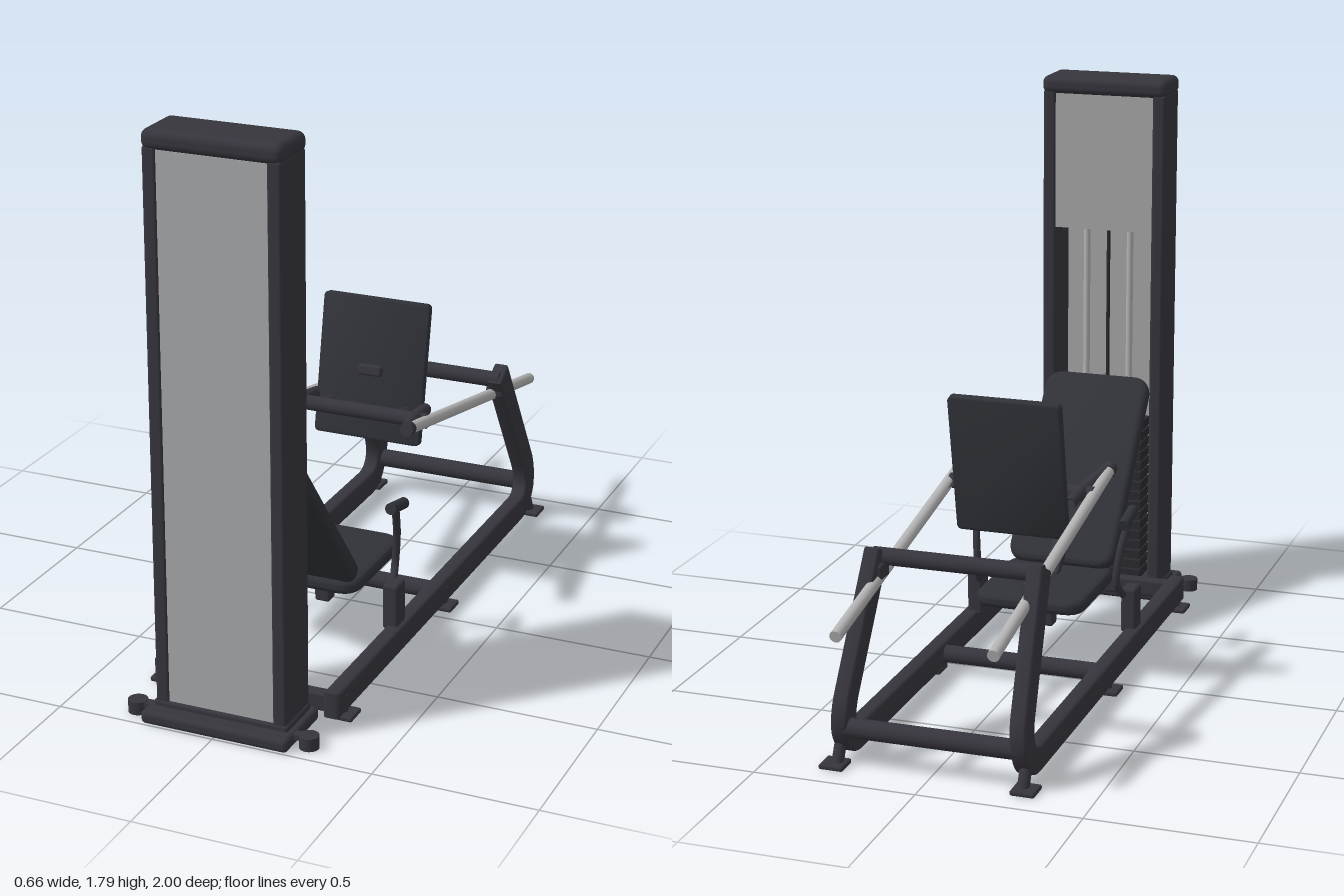
import * as THREE from 'three';
import { toCreasedNormals } from 'three/addons/utils/BufferGeometryUtils.js';
import { RoundedBoxGeometry } from 'three/addons/geometries/RoundedBoxGeometry.js';

const paint = (name, color) => {
  const m = new THREE.MeshStandardMaterial({ color });
  m.name = name;
  return m;
};
const V = (x, y, z) => new THREE.Vector3(x, y, z);

export function createModel() {
  const frame = paint('frame charcoal', 0x36353d);
  const pad = paint('upholstery black', 0x303238);
  const panel = paint('panel grey', 0xa6a7a8);
  const steel = paint('brushed steel', 0xb2b2b2);
  const stack = paint('weight black', 0x2a2a2f);

  const model = new THREE.Group();
  model.name = 'legPressMachine';

  const add = (name, geo, mat, x = 0, y = 0, z = 0) => {
    const mesh = new THREE.Mesh(geo, mat);
    mesh.name = name;
    mesh.position.set(x, y, z);
    model.add(mesh);
    return mesh;
  };
  const box = (name, mat, w, h, d, x, y, z, r = 0) =>
    add(name, r ? new RoundedBoxGeometry(w, h, d, 3, r) : new THREE.BoxGeometry(w, h, d), mat, x, y, z);
  const rod = (name, mat, a, b, r) => {
    const mesh = add(name, new THREE.CylinderGeometry(r, r, a.distanceTo(b), 20), mat);
    mesh.position.copy(a).lerp(b, 0.5);
    mesh.quaternion.setFromUnitVectors(V(0, 1, 0), b.clone().sub(a).normalize());
    return mesh;
  };
  const tube = (name, mat, pts, r) =>
    add(name, new THREE.TubeGeometry(new THREE.CatmullRomCurve3(pts), 24, r, 14), mat);

  // Flat cushion with rounded corners and soft edges, facing +z
  const cushion = (w, l, t, r, bevel) => {
    const x = w / 2 - bevel, y = l / 2 - bevel;
    const s = new THREE.Shape();
    s.moveTo(-x + r, -y);
    s.lineTo(x - r, -y).quadraticCurveTo(x, -y, x, -y + r);
    s.lineTo(x, y - r).quadraticCurveTo(x, y, x - r, y);
    s.lineTo(-x + r, y).quadraticCurveTo(-x, y, -x, y - r);
    s.lineTo(-x, -y + r).quadraticCurveTo(-x, -y, -x + r, -y);
    const g = new THREE.ExtrudeGeometry(s, {
      depth: t - 2 * bevel, bevelSize: bevel, bevelThickness: bevel, bevelSegments: 4, curveSegments: 8,
    });
    g.translate(0, 0, bevel - t / 2);
    return toCreasedNormals(g, 0.7);
  };

  // Weight tower
  box('towerBase', frame, 0.47, 0.042, 0.235, 0, 0.021, 0.882, 0.015);
  box('towerSill', frame, 0.43, 0.04, 0.17, 0, 0.04, 0.863, 0.01);
  for (const s of [-1, 1]) box('towerPost', frame, 0.043, 1.7, 0.165, s * 0.1875, 0.89, 0.8625, 0.01);
  box('towerCap', frame, 0.426, 0.06, 0.176, 0, 1.757, 0.862, 0.024);
  box('frontPanel', panel, 0.334, 1.68, 0.012, 0, 0.89, 0.934);
  box('rearPanel', panel, 0.334, 0.45, 0.012, 0, 1.505, 0.792);

  // Weight stack, guide rods and selector pin
  for (let i = 0; i < 16; i++)
    box('weightPlate', stack, 0.27, 0.029, 0.1, 0, 0.08 + i * 0.035, 0.85);
  for (const s of [-1, 1])
    rod('guideRod', steel, V(s * 0.075, 0.06, 0.85), V(s * 0.075, 1.73, 0.85), 0.011);
  rod('stackCable', stack, V(0, 0.6, 0.85), V(0, 1.73, 0.85), 0.006);
  rod('selectorPin', steel, V(0, 0.46, 0.81), V(0, 0.46, 0.76), 0.009);

  // Side rail outline, bent up at the rear; x of the shape runs toward the back
  const rail = new THREE.Shape();
  rail.moveTo(-0.77, 0.025);
  rail.lineTo(0.77, 0.025).bezierCurveTo(0.865, 0.025, 0.92, 0.12, 0.88, 0.215);
  rail.lineTo(0.675, 0.6).lineTo(0.612, 0.568);
  rail.lineTo(0.81, 0.2).bezierCurveTo(0.84, 0.14, 0.82, 0.09, 0.76, 0.09);
  rail.lineTo(-0.77, 0.09);
  const railShape = (side) => {
    const g = new THREE.ExtrudeGeometry(rail, {
      depth: 0.034, bevelSize: 0.008, bevelThickness: 0.008, bevelSegments: 3, curveSegments: 14,
    });
    g.translate(0, 0, -0.017);
    g.rotateY(Math.PI / 2);
    // Lean the upright inwards
    const p = g.attributes.position;
    for (let i = 0; i < p.count; i++)
      p.setX(i, p.getX(i) + side * (0.276 - Math.max(0, p.getY(i) - 0.1) * 0.05));
    return toCreasedNormals(g, 0.6);
  };

  for (const s of [-1, 1]) {
    add('sideRail', railShape(s), frame);

    // Feet
    for (const z of [0.715, -0.075, -0.885]) {
      box('footPlate', frame, 0.075, 0.016, 0.075, s * 0.293, 0.008, z, 0.006);
      rod('footStem', frame, V(s * 0.285, 0.01, z), V(s * 0.285, 0.07, z + (z < -0.5 ? 0.03 : 0)), 0.018);
    }
    add('levelingFoot', new THREE.CylinderGeometry(0.03, 0.03, 0.04, 20), frame, s * 0.276, 0.02, 0.93);
    box('footBracket', frame, 0.06, 0.015, 0.03, s * 0.235, 0.03, 0.93);

    // Hand grips
    box('gripPost', frame, 0.05, 0.15, 0.07, s * 0.262, 0.158, 0.268, 0.01);
    tube('gripStem', frame, [V(s * 0.245, 0.21, 0.235), V(s * 0.235, 0.26, 0.195), V(s * 0.242, 0.36, 0.2), V(s * 0.258, 0.465, 0.25)], 0.012);
    rod('handGrip', pad, V(s * 0.258, 0.482, 0.29), V(s * 0.258, 0.46, 0.185), 0.018);

    // Sliding carriage rods, end caps and arms
    rod('carriageRod', steel, V(s * 0.236, 0.668, 0.1), V(s * 0.236, 0.447, -0.997), 0.0185);
    rod('rodCap', frame, V(s * 0.236, 0.672, 0.115), V(s * 0.236, 0.666, 0.088), 0.022);
    tube('carriageArm', frame, [V(s * 0.187, 0.63, -0.16), V(s * 0.198, 0.645, -0.06), V(s * 0.212, 0.655, 0.02), V(s * 0.228, 0.668, 0.095)], 0.02);
    box('rodGuide', frame, 0.06, 0.05, 0.07, s * 0.247, 0.535, -0.655, 0.01);
  }

  // Cross members
  rod('rearCrossbar', frame, V(-0.265, 0.12, -0.868), V(0.265, 0.12, -0.868), 0.03);
  rod('upperCrossbar', frame, V(-0.262, 0.572, -0.635), V(0.262, 0.572, -0.635), 0.026);
  rod('middleCrossbar', frame, V(-0.27, 0.058, -0.065), V(0.27, 0.058, -0.065), 0.028);
  box('frontCrossbar', frame, 0.54, 0.06, 0.04, 0, 0.058, 0.75, 0.01);
  rod('carriageCrossbar', frame, V(-0.235, 0.635, -0.057), V(0.235, 0.635, -0.057), 0.024);

  // Foot platform with a small catch on its face
  add('footPlatform', cushion(0.36, 0.455, 0.03, 0.012, 0.005), pad, 0, 0.735, -0.178).rotation.x = -0.187;
  box('platformCatch', frame, 0.08, 0.035, 0.022, 0, 0.735, -0.157, 0.008).rotation.x = -0.187;
  for (const s of [-1, 1])
    rod('platformMount', frame, V(s * 0.13, 0.635, -0.06), V(s * 0.13, 0.615, -0.15), 0.018);

  // Backrest, seat and supports
  add('backrest', cushion(0.36, 0.685, 0.055, 0.04, 0.02), pad, 0, 0.518, 0.55).rotation.x = 0.684;
  add('seat', cushion(0.36, 0.4, 0.046, 0.05, 0.018), pad, 0, 0.232, 0.182).rotation.x = -Math.PI / 2;
  box('seatPost', frame, 0.05, 0.12, 0.05, 0, 0.155, 0.2, 0.008);
  box('lumbarHandle', frame, 0.05, 0.19, 0.03, 0, 0.305, 0.312, 0.01).rotation.x = 0.9;
  const strut = box('backrestStrut', frame, 0.06, 0.47, 0.055, 0, 0.285, 0.655, 0.01);
  strut.rotation.x = -0.43;

  return model;
}
